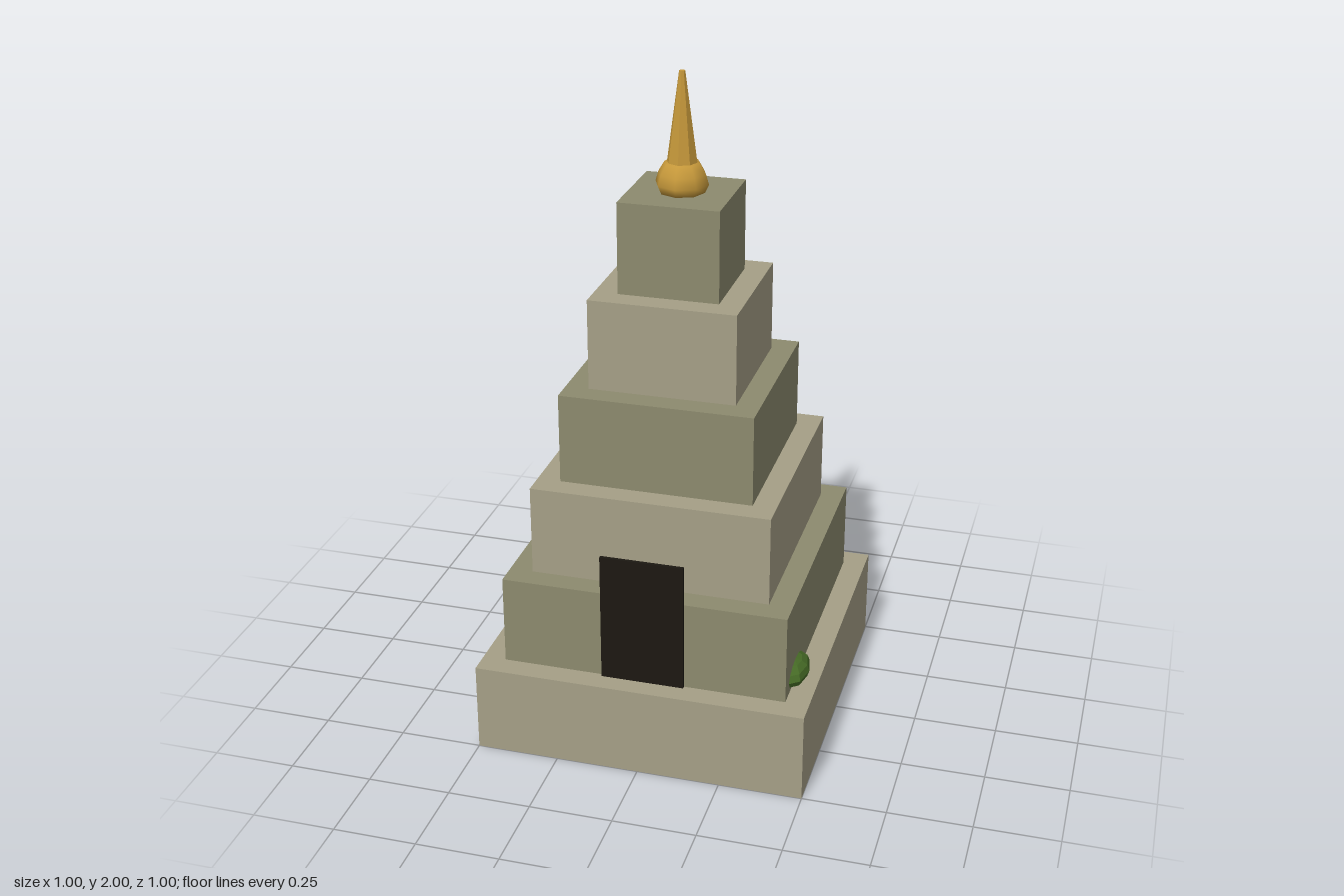
import * as THREE from 'three';

const paint = (color, flatShading = false) => new THREE.MeshStandardMaterial({ color, flatShading });

export function createModel() {
  const model = new THREE.Group();
  const add = (name, geometry, material, x, y, z) => {
    const mesh = new THREE.Mesh(geometry, material);
    mesh.name = name;
    mesh.position.set(x, y, z);
    model.add(mesh);
    return mesh;
  };

  // Six stepped tiers in alternating stone
  const tiers = 6, tierHeight = 0.275;
  const stones = [paint(0xa59f86), paint(0x8c8a6e)];
  for (let i = 0; i < tiers; i++) {
    const width = 1 - i * 0.14;
    add(`tier${i + 1}`, new THREE.BoxGeometry(width, tierHeight, width), stones[i % 2],
      0, (i + 0.5) * tierHeight, 0);
  }
  const top = tiers * tierHeight;

  // Doorway slab on the front of the second tier
  add('doorway', new THREE.BoxGeometry(0.25, 0.4, 0.01), paint(0x1c1812), 0, tierHeight + 0.2, 0.435);

  // Golden finial: squat bulb and tapering spire
  const gold = 0xc4973a;
  const bulb = [[0, 0], [0.068, 0], [0.079, 0.025], [0.07, 0.055], [0.052, 0.085], [0, 0.1]]
    .map(([r, y]) => new THREE.Vector2(r, y));
  add('finialBulb', new THREE.LatheGeometry(bulb, 8), paint(gold), 0, top, 0);
  add('finialSpire', new THREE.CylinderGeometry(0.009, 0.047, 0.28, 8), paint(gold, true), 0, 1.86, 0);

  // Shrub against the left wall of the second tier
  const shrub = add('shrub', new THREE.SphereGeometry(1, 8, 6), paint(0x466b26, true), 0.425, 0.309, 0.3);
  shrub.scale.set(0.047, 0.038, 0.09);

  return model;
}
